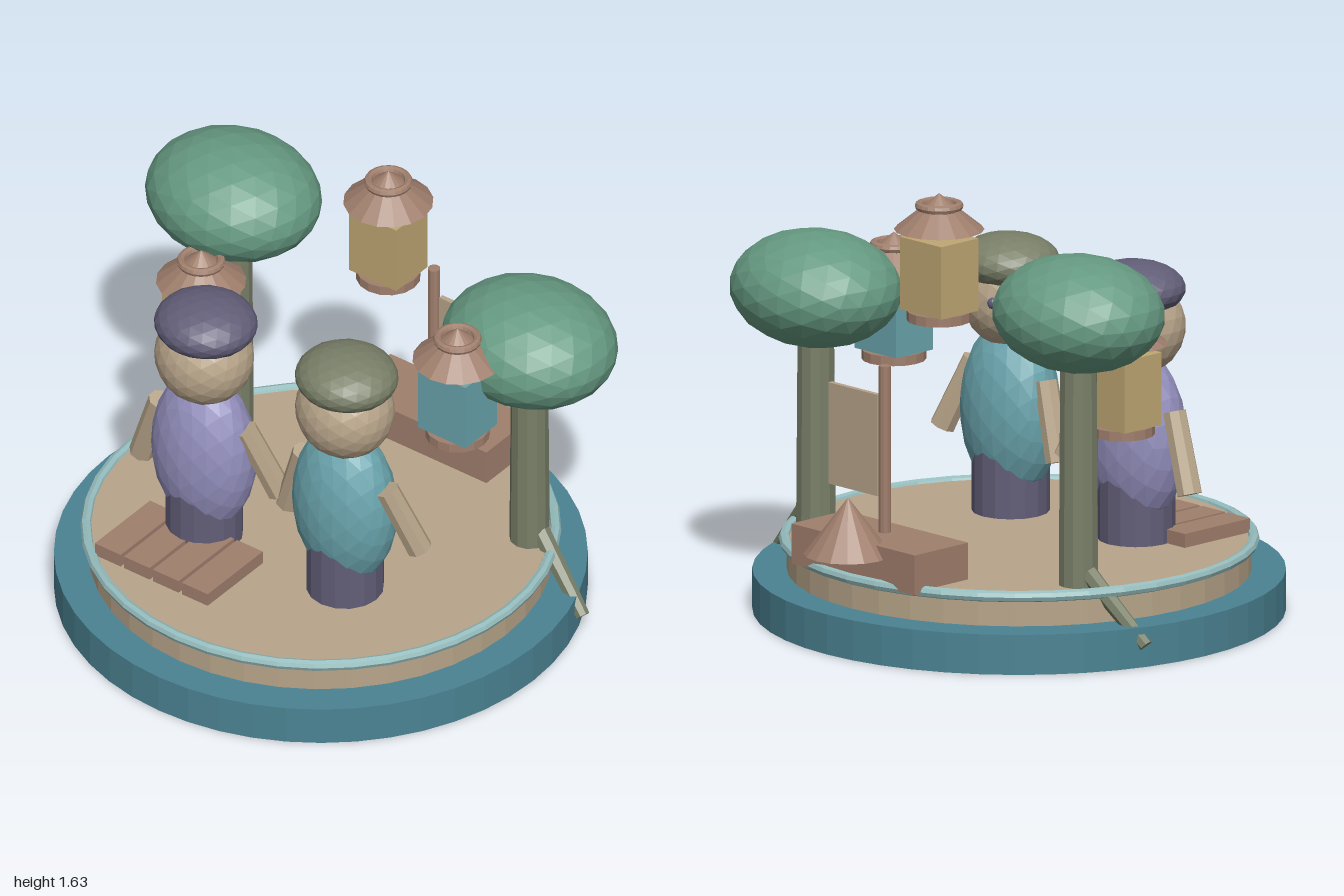
import * as THREE from 'three';

const mat = (name, color) => {
  const m = new THREE.MeshStandardMaterial({ color, flatShading: true });
  m.name = name;
  return m;
};

export function createModel() {
  const model = new THREE.Group();
  model.name = 'lanternIsland';

  const teal = mat('deep teal', 0x4b8393);
  const sand = mat('warm sand', 0xb8a58a);
  const pale = mat('pale aqua', 0x95bcbd);
  const green = mat('leaf green', 0x669a82);
  const olive = mat('olive', 0x797f68);
  const slate = mat('slate purple', 0x625e78);
  const lilac = mat('lilac', 0x938fbd);
  const aqua = mat('aqua', 0x6aa4ad);
  const brown = mat('clay brown', 0xa07f6d);
  const amber = mat('amber', 0xbfa673);

  const add = (parent, name, geometry, material, x = 0, y = 0, z = 0) => {
    const mesh = new THREE.Mesh(geometry, material);
    mesh.name = name;
    mesh.position.set(x, y, z);
    parent.add(mesh);
    return mesh;
  };
  const group = (name, x = 0, y = 0, z = 0) => {
    const g = new THREE.Group();
    g.name = name;
    g.position.set(x, y, z);
    model.add(g);
    return g;
  };
  const blob = (rx, ry, rz, detail = 3) => new THREE.IcosahedronGeometry(1, detail).scale(rx, ry, rz);
  const box = (w, h, d) => new THREE.BoxGeometry(w, h, d);
  const cyl = (top, bottom, h, sides) => new THREE.CylinderGeometry(top, bottom, h, sides);

  // Tapered rod between two points
  const rod = (parent, name, from, to, r0, r1, sides, material) => {
    const a = new THREE.Vector3(...from), b = new THREE.Vector3(...to);
    const dir = b.clone().sub(a);
    const mesh = add(parent, name, cyl(r1, r0, dir.length(), sides), material);
    mesh.position.copy(a).add(b).multiplyScalar(0.5);
    mesh.quaternion.setFromUnitVectors(new THREE.Vector3(0, 1, 0), dir.normalize());
    return mesh;
  };

  // Stand: water disc, sand disc and rim
  const stand = group('stand', 0, 0, 0.026);
  add(stand, 'waterDisc', cyl(0.97, 0.97, 0.15, 48), teal, 0, 0.075, 0);
  add(stand, 'sandDisc', cyl(0.845, 0.845, 0.13, 40), sand, 0, 0.205, 0);
  const rim = add(stand, 'shoreRim', new THREE.TorusGeometry(0.853, 0.021, 8, 40), pale, 0, 0.264, 0);
  rim.rotation.x = Math.PI / 2;

  // Trees, each with a root running out through the shore
  for (const [side, z, crownY] of [[-1, -0.3, 1.285], [1, -0.375, 1.153]]) {
    const tree = group(side < 0 ? 'rightTree' : 'leftTree', side * 0.648, 0, z);
    const height = crownY - 0.37;
    add(tree, 'trunk', cyl(0.068, 0.074, height, 12), olive, 0, 0.26 + height / 2, 0);
    add(tree, 'crown', blob(0.337, 0.213, 0.295), green, 0, crownY, 0);
    rod(tree, 'root', [side * 0.05, 0.32, 0], [side * 0.29, 0.08, 0.06], 0.036, 0.026, 7, olive);
  }

  // Hanging lanterns; y is the lower edge of the roof
  for (const [name, x, y, z, glass] of [
    ['centreLantern', 0, 1.495, -0.378, amber],
    ['rightLantern', -0.567, 1.105, 0, amber],
    ['leftLantern', 0.54, 1.197, -0.085, aqua],
  ]) {
    const lantern = group(name, x, y, z);
    add(lantern, 'roof', new THREE.ConeGeometry(0.165, 0.135, 16), brown, 0, 0.0675, 0);
    const ring = add(lantern, 'roofRing', new THREE.TorusGeometry(0.073, 0.016, 8, 20), brown, 0, 0.088, 0);
    ring.rotation.x = Math.PI / 2;
    add(lantern, 'lanternBody', box(0.216, 0.272, 0.188), glass, 0, -0.168, 0);
    add(lantern, 'lanternFoot', cyl(0.118, 0.118, 0.036, 16), brown, 0, -0.322, 0);
  }

  // Two figures looking towards the back; arms run shoulder to hand
  const figures = [
    ['rightFigure', -0.31, 0.318, lilac, slate,
      [[[-0.2, 0.78, 0], [-0.3, 0.49, -0.02]], [[0.18, 0.81, -0.01], [0.285, 0.535, -0.08]]]],
    ['leftFigure', 0.297, 0.27, aqua, olive,
      [[[-0.19, 0.79, -0.005], [-0.28, 0.505, -0.03]], [[0.2, 0.8, 0.01], [0.3, 0.54, -0.055]]]],
  ];
  for (const [name, x, z, coat, hat, arms] of figures) {
    const figure = group(name, x, 0, z);
    add(figure, 'legs', cyl(0.142, 0.142, 0.29, 16), slate, 0, 0.405, 0);
    add(figure, 'coat', blob(0.211, 0.335, 0.158), coat, 0, 0.65, 0);
    add(figure, 'head', blob(0.186, 0.186, 0.175), sand, 0, 1.07, 0);
    add(figure, 'cap', blob(0.192, 0.1, 0.184), hat, 0, 1.21, -0.01);
    for (const s of [-1, 1]) {
      add(figure, 'eye', blob(0.022, 0.022, 0.018, 1), slate, s * 0.068, 1.085, -0.157);
    }
    for (const [from, to] of arms) rod(figure, 'arm', from, to, 0.044, 0.048, 8, sand);
  }

  // Plank walkway
  const walkway = group('walkway');
  for (let i = 0; i < 4; i++) {
    add(walkway, 'plank', box(0.118, 0.055, 0.33), brown, -0.482 + i * 0.1325, 0.2945, 0.505);
  }

  // Boat with mast, sail and a pointed stern
  const boat = group('boat');
  add(boat, 'hull', box(0.645, 0.15, 0.27), brown, 0, 0.333, -0.678);
  add(boat, 'mast', cyl(0.023, 0.023, 0.64, 10), brown, 0, 0.712, -0.652);
  add(boat, 'sail', box(0.255, 0.38, 0.02), sand, 0.158, 0.728, -0.652);
  add(boat, 'sternCone', new THREE.ConeGeometry(0.162, 0.21, 16), brown, 0, 0.465, -0.838);

  return model;
}
